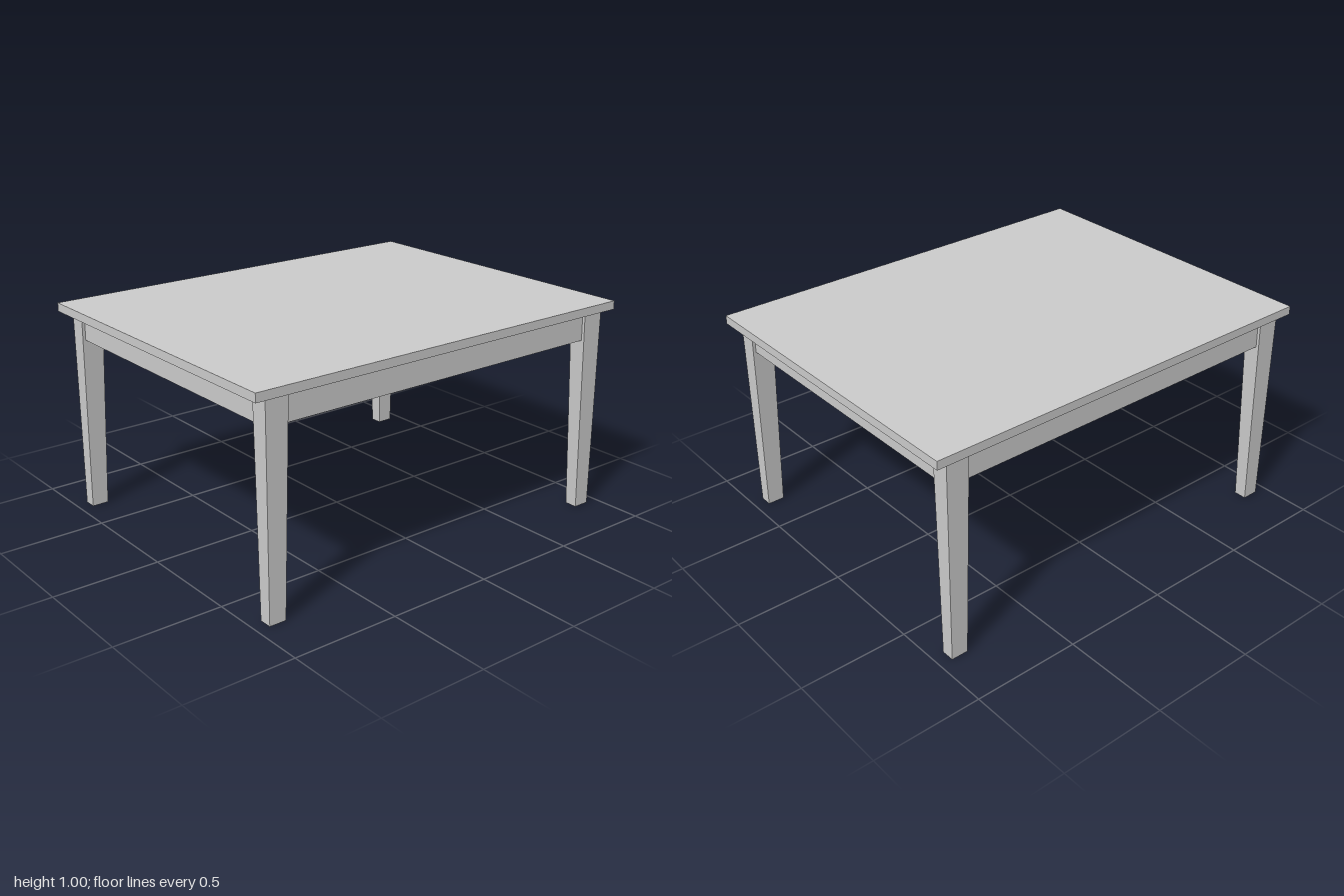
import * as THREE from 'three';

const TOP_Y = 0.96; // underside of the table top
const RAIL_Y = 0.833; // lower edge of the rails
const LEG = { x: 0.753, z: 0.94 }; // outer leg corner
const FOOT = { w: 0.06, d: 0.08 };
const HEAD = { w: 0.083, d: 0.108 };

export function createModel() {
  const table = new THREE.Group();
  table.name = 'table';
  const material = new THREE.MeshStandardMaterial({ color: 0xcccccc, flatShading: true });

  const addBox = (name, w, h, d, x, y, z) => {
    const mesh = new THREE.Mesh(new THREE.BoxGeometry(w, h, d), material);
    mesh.name = name;
    mesh.position.set(x, y, z);
    table.add(mesh);
  };

  // Table top
  addBox('tableTop', 1.555, 1 - TOP_Y, 2, 0, (1 + TOP_Y) / 2, 0);

  // Legs: outer faces upright, inner faces tapering towards the foot
  const addLeg = (name, sx, sz) => {
    const geometry = new THREE.BoxGeometry(1, TOP_Y, 1);
    const p = geometry.attributes.position;
    for (let i = 0; i < p.count; i++) {
      const size = p.getY(i) > 0 ? HEAD : FOOT;
      const x = p.getX(i) * sx > 0 ? LEG.x : LEG.x - size.w;
      const z = p.getZ(i) * sz > 0 ? LEG.z : LEG.z - size.d;
      p.setXYZ(i, sx * x, p.getY(i) + TOP_Y / 2, sz * z);
    }
    geometry.computeVertexNormals();
    const leg = new THREE.Mesh(geometry, material);
    leg.name = name;
    table.add(leg);
  };
  addLeg('frontLeftLeg', 1, 1);
  addLeg('frontRightLeg', -1, 1);
  addLeg('backLeftLeg', 1, -1);
  addLeg('backRightLeg', -1, -1);

  // Rails set slightly back from the outer leg faces, ending inside the legs
  const railH = TOP_Y - RAIL_Y;
  const railY = (TOP_Y + RAIL_Y) / 2;
  const thick = 0.03;
  const recess = 0.014;
  for (const s of [1, -1]) {
    addBox(s > 0 ? 'frontRail' : 'backRail', 1.4, railH, thick,
      0, railY, s * (LEG.z - recess - thick / 2));
    addBox(s > 0 ? 'leftRail' : 'rightRail', thick, railH, 1.74,
      s * (LEG.x - recess - thick / 2), railY, 0);
  }

  return table;
}
